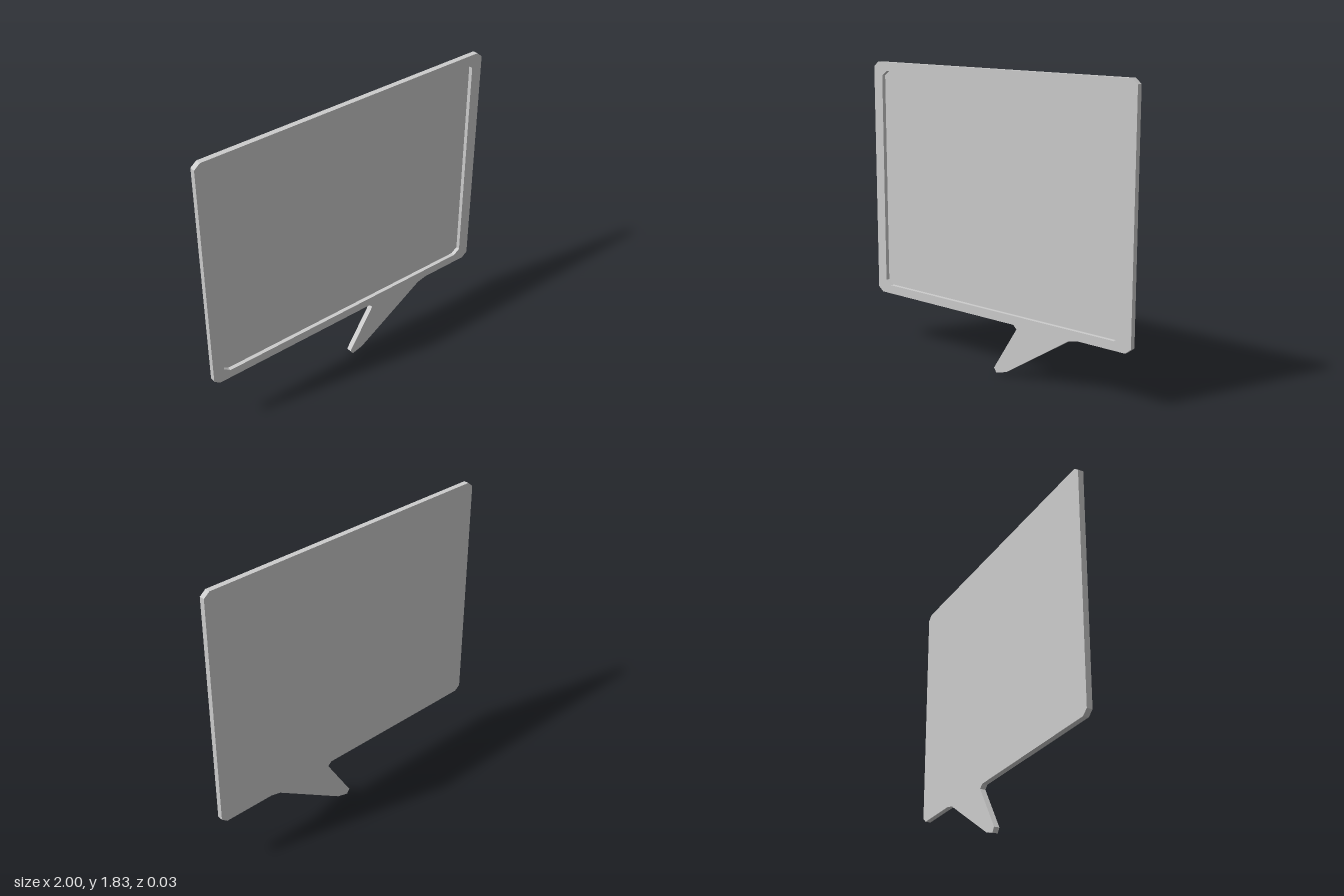
import * as THREE from 'three';

const HALF_DEPTH = 0.017;
const FLOOR_Z = -0.008; // bottom of the recessed panel

const toPoints = (pairs) => pairs.map(([x, y]) => new THREE.Vector2(x, y));

// Rectangle with clipped corners, counter-clockwise from the bottom left;
// extra points are inserted along the bottom edge
function clippedRect(halfW, y0, y1, cx, cy, bottom = []) {
  return toPoints([
    [-halfW, y0 + cy], [-halfW + cx, y0], ...bottom, [halfW - cx, y0], [halfW, y0 + cy],
    [halfW, y1 - cy], [halfW - cx, y1], [-halfW + cx, y1], [-halfW, y1 - cy],
  ]);
}

export function createModel() {
  const group = new THREE.Group();
  group.name = 'speechBubbleSign';
  const material = new THREE.MeshStandardMaterial({ color: 0xcccccc, flatShading: true });

  // Slanted pointer hanging from the bottom edge
  const tail = [
    [0.16, 0.33], [0.185, 0.307], [0.008, 0.028], [0.028, 0],
    [0.105, 0.022], [0.57, 0.315], [0.635, 0.33],
  ];
  const outline = clippedRect(1, 0.33, 1.83, 0.037, 0.03, tail);
  const opening = clippedRect(0.928, 0.385, 1.776, 0.042, 0.03);

  function addSlab(name, z0, z1, hole) {
    const shape = new THREE.Shape(outline);
    if (hole) shape.holes.push(new THREE.Path(hole));
    const geometry = new THREE.ExtrudeGeometry(shape, { depth: z1 - z0, bevelEnabled: false });
    geometry.translate(0, 0, z0);
    const mesh = new THREE.Mesh(geometry, material);
    mesh.name = name;
    group.add(mesh);
  }

  // Solid back board, with a raised border around the recessed panel
  addSlab('backBoard', -HALF_DEPTH, FLOOR_Z);
  addSlab('raisedBorder', FLOOR_Z, HALF_DEPTH, opening);

  return group;
}
